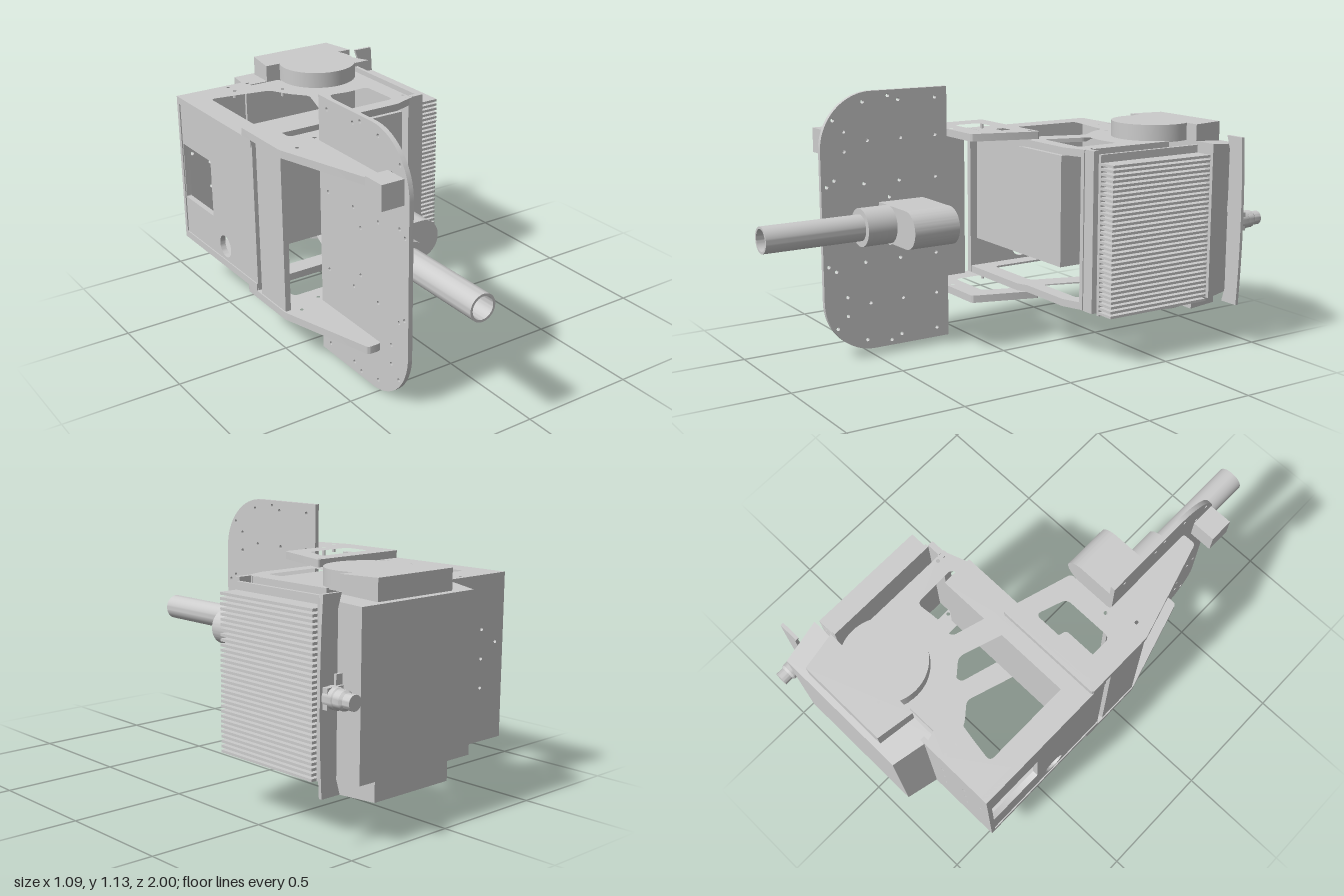
import * as THREE from 'three';
import { toCreasedNormals } from 'three/addons/utils/BufferGeometryUtils.js';

const MID = 0.567; // height of the mirror plane between upper and lower frames

export function createModel() {
  const model = new THREE.Group();
  const material = new THREE.MeshStandardMaterial({ color: 0xcccccc });

  function add(name, geometry, x = 0, y = 0, z = 0) {
    const mesh = new THREE.Mesh(geometry, material);
    mesh.name = name;
    mesh.position.set(x, y, z);
    model.add(mesh);
    return mesh;
  }

  // Box given by its limits
  function box(name, x0, x1, y0, y1, z0, z1) {
    return add(name, new THREE.BoxGeometry(x1 - x0, y1 - y0, z1 - z0),
      (x0 + x1) / 2, (y0 + y1) / 2, (z0 + z1) / 2);
  }

  // Closed outline with corners rounded by radius r
  function outline(points, r = 0, Type = THREE.Path) {
    const path = new Type();
    const pts = points.map(p => new THREE.Vector2(p[0], p[1]));
    pts.forEach((p, i) => {
      const prev = pts[(i + pts.length - 1) % pts.length], next = pts[(i + 1) % pts.length];
      const toward = q => p.clone().lerp(q, Math.min(0.45, r / p.distanceTo(q)));
      const a = toward(prev), b = toward(next);
      if (i === 0) path.moveTo(a.x, a.y); else path.lineTo(a.x, a.y);
      if (r > 0) path.quadraticCurveTo(p.x, p.y, b.x, b.y);
    });
    path.closePath();
    return path;
  }

  const roundHole = (x, y, r) => new THREE.Path().absarc(x, y, r, 0, Math.PI * 2, true);

  function extrude(shape, depth) {
    const g = new THREE.ExtrudeGeometry(shape, { depth, bevelEnabled: false, curveSegments: 20 });
    return toCreasedNormals(g, 0.6);
  }

  // Horizontal slab from an (x, z) plan, between heights y0 and y1
  function slab(name, plan, y0, y1, holes = [], bolts = [], r = 0) {
    const flip = list => list.map(([x, z]) => [x, -z]);
    const shape = outline(flip(plan), r, THREE.Shape);
    holes.forEach(h => shape.holes.push(outline(flip(h), 0.025)));
    flip(bolts).forEach(([x, y]) => shape.holes.push(roundHole(x, y, 0.008)));
    return add(name, extrude(shape, y1 - y0).rotateX(-Math.PI / 2), 0, y0, 0);
  }

  // Upright plate drawn in (z, y), its outer face at x
  const sidePlate = (name, shape, x, thick) =>
    add(name, extrude(shape, thick).rotateY(-Math.PI / 2), x + thick, 0, 0);

  // Front plate with two large rounded corners and rows of bolt holes
  const R = 0.24;
  const plate = new THREE.Shape();
  plate.moveTo(0.08, 0);
  plate.lineTo(0.69 - R, 0);
  plate.absarc(0.69 - R, R, R, -Math.PI / 2, 0, false);
  plate.absarc(0.69 - R, 1.134 - R, R, 0, Math.PI / 2, false);
  plate.lineTo(0.08, 1.134);
  plate.closePath();
  const bolts = [[0.49, 1.09], [0.37, 1.11], [0.32, 1.09], [0.14, 1.09], [0.58, 0.97], [0.58, 0.885],
    [0.47, 0.925], [0.31, 0.925], [0.14, 0.925], [0.63, 1.02], [0.63, 0.765], [0.665, 0.74],
    [0.49, 0.74], [0.32, 0.74], [0.14, 0.74], [0.37, 0.67]];
  for (const [z, y] of bolts) {
    plate.holes.push(roundHole(z, y, 0.008), roundHole(z, 2 * MID - y, 0.008));
  }
  sidePlate('frontPlate', plate, -0.36, 0.02);
  box('plateBlock', -0.465, -0.365, 0.875, 0.98, 0.56, 0.665);

  // Upper and lower frames, arms and motor housings, mirrored about MID
  const armPlan = [[-0.545, -0.23], [-0.06, -0.23], [-0.15, 0.07], [-0.36, 0.07],
    [-0.36, 0.51], [-0.42, 0.51], [-0.545, 0.08]];
  const armHole = [[-0.44, -0.15], [-0.165, -0.15], [-0.21, -0.02], [-0.44, -0.02]];
  const framePlan = [[-0.545, -0.815], [-0.22, -0.815], [-0.2, -0.755], [-0.07, -0.755],
    [0.12, -0.6], [0.27, -0.655], [0.3, -0.655], [0.3, -0.23], [0.36, -0.23], [0.36, -0.205],
    [0.3, -0.205], [0.2, -0.17], [-0.07, -0.17], [-0.12, -0.15], [-0.545, -0.15]];
  const frameHoles = [
    [[-0.44, -0.69], [-0.34, -0.675], [-0.17, -0.645], [-0.12, -0.55], [-0.06, -0.48], [-0.14, -0.235], [-0.44, -0.235]],
    [[0.02, -0.44], [0.11, -0.425], [0.215, -0.435], [0.22, -0.235], [-0.04, -0.235]],
  ];
  const frontHole = [[-0.44, -0.195], [-0.15, -0.195], [-0.165, -0.1], [-0.44, -0.1]];
  const housingPlan = [[-0.11, -0.77], [-0.085, -0.93], [0.315, -0.93], [0.345, -0.77]];
  for (const side of ['upper', 'lower']) {
    const span = (a, b) => side === 'upper' ? [a, b] : [2 * MID - b, 2 * MID - a];
    slab(side + 'Arm', armPlan, ...span(0.91, 0.943), [armHole],
      [[-0.495, -0.2], [-0.1, -0.2], [-0.475, 0.1], [-0.36, 0.075 - 0.03]], 0.015);
    slab(side + 'Frame', framePlan, ...span(0.878, 0.91), frameHoles,
      [[-0.53, -0.63], [-0.3, -0.73], [-0.3, -0.79], [-0.11, -0.63], [0.285, -0.25], [0.285, -0.22]]);
    slab(side + 'MotorHousing', housingPlan, ...span(0.85, 0.98));
    const [y0, y1] = span(0.905, 0.98);
    add(side + 'MotorDisc', new THREE.CylinderGeometry(0.175, 0.175, y1 - y0, 64), 0.12, (y0 + y1) / 2, -0.70);
  }

  // Side wall with a window and a round opening
  const wall = outline([[-0.815, 0.225], [-0.148, 0.225], [-0.148, 0.91], [-0.815, 0.91]], 0, THREE.Shape);
  wall.holes.push(outline([[-0.79, 0.43], [-0.53, 0.43], [-0.53, 0.69], [-0.79, 0.69]], 0.005));
  wall.holes.push(roundHole(-0.43, 0.32, 0.05));
  sidePlate('sideWall', wall, -0.54, 0.025);
  box('armWall', -0.54, -0.515, 0.225, 0.91, -0.115, 0.08);

  // Rear wall with bolt holes
  const rear = outline([[-0.545, 0.225], [-0.19, 0.225], [-0.19, 0.91], [-0.545, 0.91]], 0, THREE.Shape);
  for (const x of [-0.41, -0.29]) {
    for (const y of [0.45, 0.57, 0.69]) rear.holes.push(roundHole(x, y, 0.008));
  }
  rear.holes.push(roundHole(-0.497, 0.63, 0.008));
  add('rearWall', extrude(rear, 0.02), 0, 0, -0.815);

  // Rear cover: flared body with a slightly lower back
  const cover = slab('rearCover', [[-0.22, -0.77], [-0.18, -0.955], [0.42, -0.955], [0.455, -0.77]], 0, 0.68);
  cover.position.y = 0.228;
  const pos = cover.geometry.attributes.position;
  for (let i = 0; i < pos.count; i++) {
    if (pos.getZ(i) < -0.9) pos.setY(i, 0.34 + (pos.getY(i) - 0.34) * 0.95);
  }
  cover.geometry.computeVertexNormals();

  // Electronics case and corner post
  box('electronicsCase', -0.46, 0.21, 0.4, 0.878, -0.29, -0.15);
  box('cornerPost', 0.3, 0.362, 0.222, 0.912, -0.23, -0.205);
  box('postFlange', 0.28, 0.302, 0.225, 0.91, -0.235, -0.2);

  // Heat sink
  box('heatSinkBase', 0.362, 0.378, 0.212, 0.897, -0.75, -0.23);
  for (let i = 0; i < 32; i++) {
    const y = 0.22 + i * 0.0204;
    box('heatSinkFin', 0.376, 0.46, y, y + 0.011, -0.75, -0.23);
  }

  // Thin bowed panel at the rear corner
  const panel = new THREE.Shape();
  panel.moveTo(0.44, 0.2);
  panel.lineTo(0.53, 0.2);
  panel.quadraticCurveTo(0.555, 0.57, 0.53, 0.937);
  panel.lineTo(0.44, 0.937);
  panel.lineTo(0.458, 0.88);
  panel.lineTo(0.458, 0.26);
  panel.closePath();
  add('cornerPanel', extrude(panel, 0.014), 0, 0, -0.876);

  // Rear connector
  box('connectorBlock', 0.45, 0.53, 0.53, 0.61, -0.9, -0.87);
  box('connectorTab', 0.445, 0.475, 0.6, 0.65, -0.888, -0.872);
  const plug = [[0, 0], [0.042, 0], [0.042, 0.045], [0.038, 0.05], [0.038, 0.08], [0.03, 0.09], [0.03, 0.125], [0, 0.125]];
  add('connectorPlug', toCreasedNormals(new THREE.LatheGeometry(plug.map(p => new THREE.Vector2(...p)), 28)
    .rotateX(-Math.PI / 2), 0.5), 0.493, 0.57, -0.875);

  // Tube holder: a flat side against the front plate, rounded far side
  const holder = new THREE.Shape();
  holder.moveTo(-0.34, 0.488);
  holder.lineTo(-0.102, 0.488);
  holder.absarc(-0.102, 0.57, 0.082, -Math.PI / 2, Math.PI / 2, false);
  holder.lineTo(-0.34, 0.652);
  holder.closePath();
  add('tubeHolder', extrude(holder, 0.215), 0, 0, 0.205);

  // Collar and hollow tube
  const collar = new THREE.CylinderGeometry(0.083, 0.083, 0.14, 48).rotateX(Math.PI / 2);
  add('tubeCollar', collar, -0.257, 0.57, 0.485);
  const bore = [[0, 0.3], [0.047, 0.3], [0.047, 0], [0.057, 0], [0.057, 0.46]].reverse();
  const tube = new THREE.LatheGeometry(bore.map(([r, d]) => new THREE.Vector2(r, -d)), 48).rotateX(Math.PI / 2);
  add('tube', toCreasedNormals(tube, 0.5), -0.257, 0.57, 1);

  return model;
}
